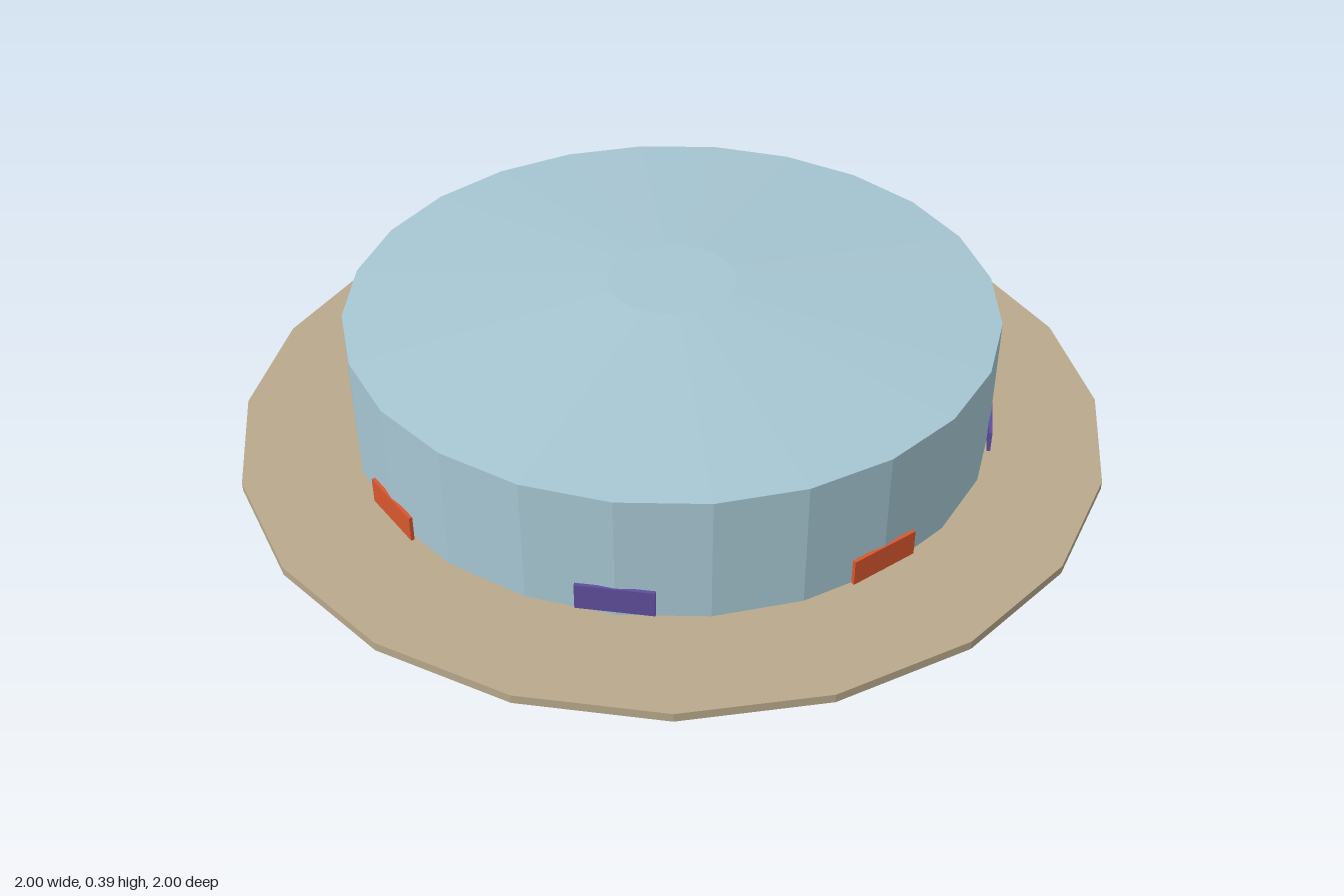
import * as THREE from 'three';

const material = (color) => new THREE.MeshStandardMaterial({ color, flatShading: true });

export function createModel() {
  const model = new THREE.Group();
  const wall = material(0xa6c6d2), tan = material(0xb8a88c);
  const orange = material(0xd9572f), purple = material(0x5f4c9c);

  function add(name, geometry, mat, y) {
    const mesh = new THREE.Mesh(geometry, mat);
    mesh.name = name;
    mesh.position.y = y;
    model.add(mesh);
    return mesh;
  }

  // Wide thin brim
  add('brim', new THREE.CylinderGeometry(1, 1, 0.02, 20), tan, 0.04);

  // Straight crown wall, shallow conical roof and flat cap
  add('crownWall', new THREE.CylinderGeometry(0.74, 0.74, 0.3, 24, 1, true), wall, 0.19);
  add('crownRoof', new THREE.CylinderGeometry(0.145, 0.74, 0.048, 24, 1, true), wall, 0.364);
  const cap = add('crownCap', new THREE.CircleGeometry(0.147, 32), wall, 0.388);
  cap.rotation.x = -Math.PI / 2;

  // Band patches, from the front towards the left: [bottom, top]
  const spans = [
    [0.05, 0.11], [0.06, 0.12], [0.055, 0.115], [0.02, 0.1],
    [0.03, 0.09], [0.02, 0.08], [0, 0.06], [0.03, 0.09],
  ];
  spans.forEach(([bottom, top], i) => {
    const a = (i * Math.PI) / 4;
    const patch = add('bandPatch', new THREE.BoxGeometry(0.165, top - bottom, 0.008),
      i % 2 ? purple : orange, (bottom + top) / 2);
    patch.position.x = 0.739 * Math.sin(a);
    patch.position.z = 0.739 * Math.cos(a);
    patch.rotation.y = a;
  });

  return model;
}
